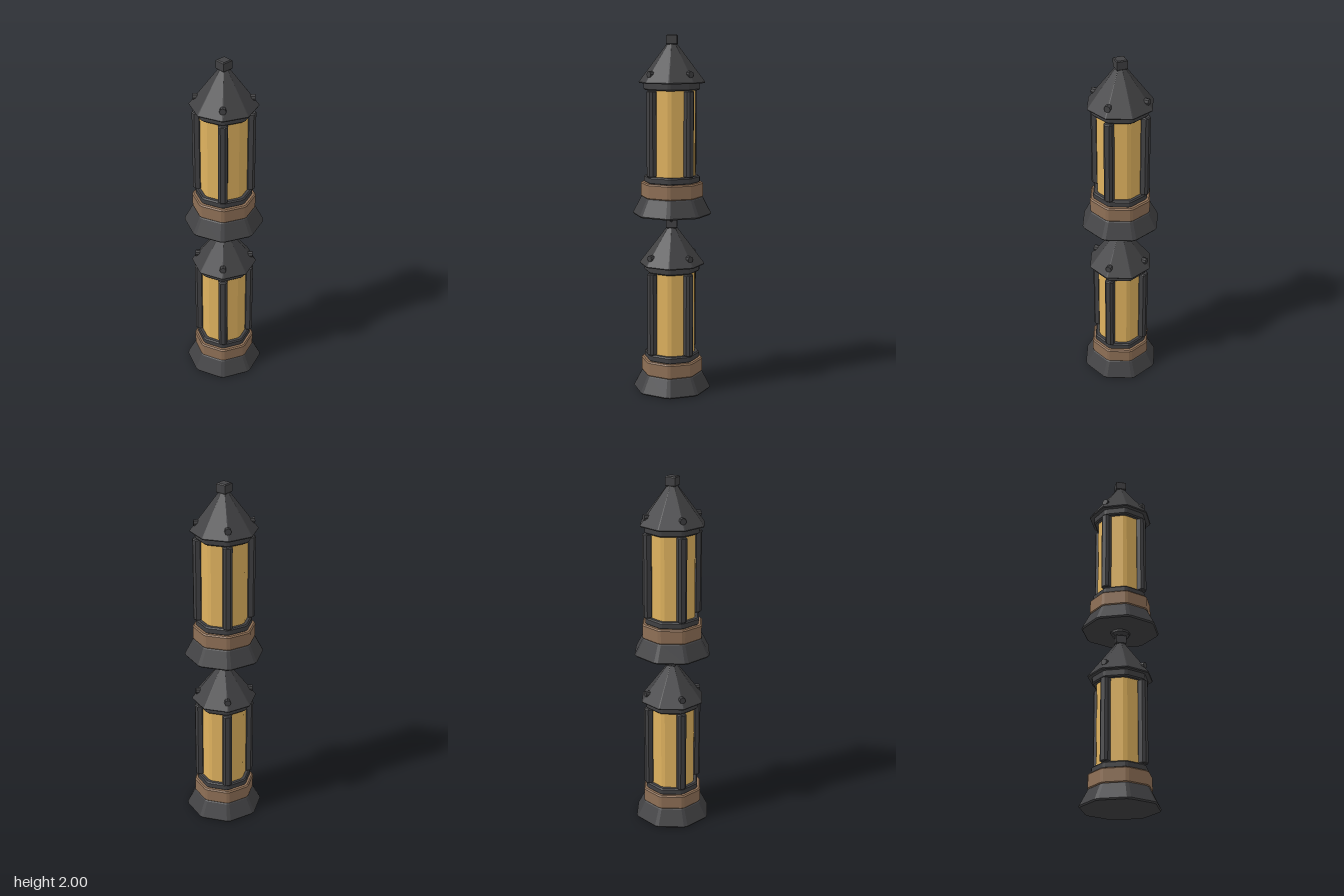
import * as THREE from 'three';

const mat = (color) => new THREE.MeshStandardMaterial({ color, flatShading: true });
const iron = mat(0x414143), wood = mat(0x8f7056), glass = mat(0xe0b35f);

function add(parent, name, geometry, material, x = 0, y = 0, z = 0) {
  const mesh = new THREE.Mesh(geometry, material);
  mesh.name = name;
  mesh.position.set(x, y, z);
  parent.add(mesh);
  return mesh;
}

// Octagonal solid with narrow chamfered corners pointing along the axes and diagonals
function octagon(profile, chamfer = 3) {
  const pts = profile.map(([r, y]) => new THREE.Vector2(r, y));
  const geo = new THREE.LatheGeometry(pts, 16);
  const pos = geo.attributes.position;
  for (let i = 0; i <= 16; i++) {
    const a = THREE.MathUtils.degToRad(Math.floor(i / 2) * 45 + (i % 2 ? chamfer : -chamfer));
    pts.forEach((p, j) => pos.setXYZ(i * pts.length + j, p.x * Math.sin(a), p.y, p.x * Math.cos(a)));
  }
  geo.computeVertexNormals();
  return geo;
}

// Straight octagonal band with bevelled top and bottom rims
const band = (r, y0, y1, b = 0.007) =>
  octagon([[0, y0], [r - b, y0], [r, y0 + b], [r, y1 - b], [r - b, y1], [0, y1]]);

// Box with bevelled edges, centred on its origin
function bevelBox(w, h, d, b) {
  const x = w / 2 - b, z = d / 2 - b;
  const s = new THREE.Shape([[-x, -z], [x, -z], [x, z], [-x, z]].map((p) => new THREE.Vector2(...p)));
  const geo = new THREE.ExtrudeGeometry(s, {
    depth: h - 2 * b, bevelEnabled: true, bevelSize: b, bevelThickness: b, bevelSegments: 1,
  });
  geo.translate(0, 0, b - h / 2);
  geo.rotateX(-Math.PI / 2);
  return geo;
}

// Square post whose four long edges are chamfered
function postGeometry(w, h, c) {
  const a = w / 2, k = a - c, b = 0.005;
  const corners = [[k, -a], [a, -k], [a, k], [k, a], [-k, a], [-a, k], [-a, -k], [-k, -a]];
  const f = (a - b) / a;
  const s = new THREE.Shape(corners.map(([x, y]) => new THREE.Vector2(x * f, y * f)));
  const geo = new THREE.ExtrudeGeometry(s, {
    depth: h - 2 * b, bevelEnabled: true, bevelSize: b, bevelThickness: b, bevelSegments: 1,
  });
  geo.translate(0, 0, b - h / 2);
  geo.rotateX(-Math.PI / 2);
  return geo;
}

function lantern(name) {
  const g = new THREE.Group();
  g.name = name;
  // Foot, wooden collar and the rims holding the glass
  add(g, 'flaredBase', octagon([[0, 0], [0.213, 0], [0.219, 0.008], [0.174, 0.095], [0.168, 0.1], [0, 0.1]]), iron);
  add(g, 'woodenCollar', band(0.173, 0.098, 0.183), wood);
  add(g, 'lowerRim', band(0.155, 0.18, 0.22), iron);
  add(g, 'glassBody', octagon([[0, 0.215], [0.13, 0.215], [0.13, 0.695], [0, 0.695]], 5), glass);
  add(g, 'upperRim', band(0.155, 0.69, 0.735), iron);
  // Pointed roof and finial
  add(g, 'roof', octagon([[0, 0.728], [0.18, 0.728], [0.183, 0.734], [0.026, 0.942], [0, 0.942]], 1), iron);
  add(g, 'finial', bevelBox(0.06, 0.053, 0.06, 0.005), iron, 0, 0.961, 0);
  // Posts and roof bolts on the diagonals
  for (let i = 0; i < 4; i++) {
    const a = Math.PI / 4 + (i * Math.PI) / 2;
    const post = add(g, 'cornerPost', postGeometry(0.05, 0.47, 0.012), iron,
      0.143 * Math.sin(a), 0.455, 0.143 * Math.cos(a));
    post.rotation.y = a;
    const bolt = new THREE.CylinderGeometry(0.018, 0.018, 0.035, 8);
    bolt.rotateX(Math.PI / 2);
    add(g, 'roofBolt', bolt, iron, 0.145 * Math.sin(a), 0.777, 0.145 * Math.cos(a)).rotation.y = a;
  }
  return g;
}

export function createModel() {
  const model = new THREE.Group();
  model.name = 'stackedLanterns';
  const upper = lantern('upperLantern');
  upper.position.y = 1.013;
  model.add(lantern('lowerLantern'), upper);
  // Hanging link between the two lanterns
  add(model, 'linkPlate', new THREE.CylinderGeometry(0.05, 0.05, 0.016, 12), iron, 0, 1.009, 0);
  const hook = new THREE.TorusGeometry(0.05, 0.008, 6, 14, Math.PI);
  hook.rotateZ(Math.PI);
  add(model, 'linkHook', hook, iron, 0, 1.02, 0);
  return model;
}
